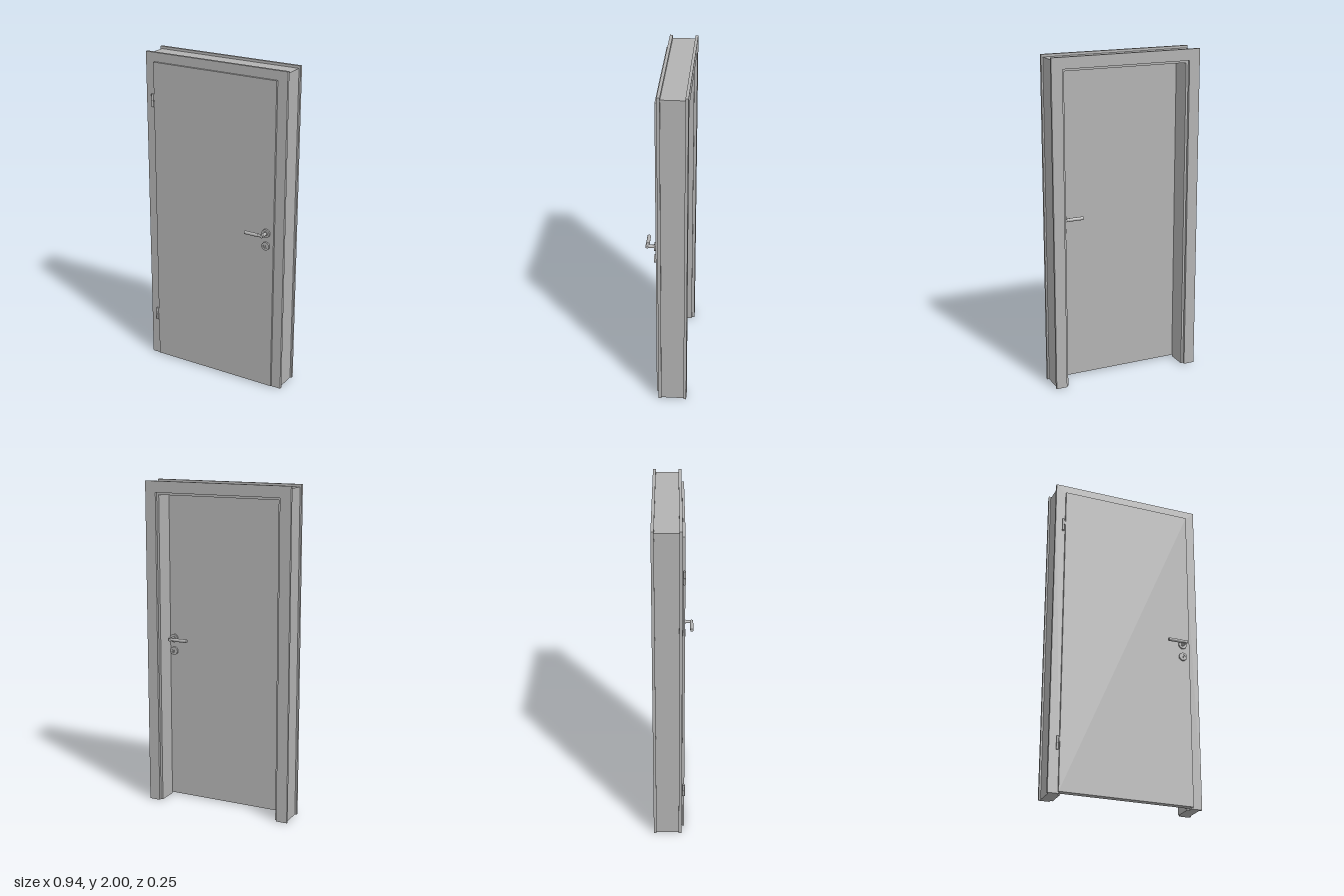
import * as THREE from 'three';

const grey = new THREE.MeshStandardMaterial({ color: 0xb2b2b2 });
grey.name = 'plain grey';

function add(parent, name, geometry, x = 0, y = 0, z = 0) {
  const mesh = new THREE.Mesh(geometry, grey);
  mesh.name = name;
  mesh.position.set(x, y, z);
  parent.add(mesh);
  return mesh;
}

// Upside-down U around the doorway, running from z0 to z1
function archGeometry(outerX, outerY, innerX, innerY, z0, z1) {
  const shape = new THREE.Shape([
    [-outerX, 0], [-innerX, 0], [-innerX, innerY], [innerX, innerY],
    [innerX, 0], [outerX, 0], [outerX, outerY], [-outerX, outerY],
  ].map(([x, y]) => new THREE.Vector2(x, y)));
  const g = new THREE.ExtrudeGeometry(shape, { depth: z1 - z0, bevelEnabled: false });
  return g.translate(0, 0, z0);
}

// Box given by its extents
function slab(parent, name, x0, x1, y0, y1, z0, z1) {
  return add(parent, name, new THREE.BoxGeometry(x1 - x0, y1 - y0, z1 - z0),
    (x0 + x1) / 2, (y0 + y1) / 2, (z0 + z1) / 2);
}

// Round bar along z or x
function bar(parent, name, r, length, axis, x, y, z) {
  const g = new THREE.CylinderGeometry(r, r, length, 24);
  if (axis === 'z') g.rotateX(Math.PI / 2);
  if (axis === 'x') g.rotateZ(Math.PI / 2);
  return add(parent, name, g, x, y, z);
}

// Lever and key rosette; the door surface lies at z = 0, pointing to +z
function makeHandle(name) {
  const h = new THREE.Group();
  h.name = name;
  const x = 0.362, y = 1.025;
  bar(h, 'leverRosette', 0.026, 0.011, 'z', x, y, 0.0055);
  bar(h, 'leverCollar', 0.014, 0.004, 'z', x, y, 0.012);
  bar(h, 'leverNeck', 0.01, 0.052, 'z', x, y, 0.036);
  bar(h, 'leverElbow', 0.009, 0.037, 'x', 0.3535, y, 0.052);
  bar(h, 'leverGrip', 0.0105, 0.09, 'x', 0.293, y, 0.052);

  // Key rosette: ring around a recessed disc with a keyhole
  const ring = new THREE.Shape().absarc(0, 0, 0.025, 0, Math.PI * 2);
  ring.holes.push(new THREE.Path().absarc(0, 0, 0.013, 0, Math.PI * 2, true));
  add(h, 'keyRosette', new THREE.ExtrudeGeometry(ring,
    { depth: 0.012, bevelEnabled: false, curveSegments: 24 }), x, 0.945, 0);
  const disc = new THREE.Shape().absarc(0, 0, 0.013, 0, Math.PI * 2);
  const hole = new THREE.Path([[-0.002, -0.008], [-0.002, 0.006], [0.002, 0.006], [0.002, -0.008]]
    .map(([a, b]) => new THREE.Vector2(a, b)));
  disc.holes.push(hole);
  add(h, 'keyholeDisc', new THREE.ExtrudeGeometry(disc,
    { depth: 0.009, bevelEnabled: false, curveSegments: 24 }), x, 0.945, 0);
  return h;
}

export function createModel() {
  const model = new THREE.Group();
  model.name = 'door';

  // Frame: casings on both wall faces, lining with a rebate for the leaf
  const frame = new THREE.Group();
  frame.name = 'frame';
  model.add(frame);
  add(frame, 'frontCasing', archGeometry(0.47, 2, 0.402, 1.932, 0.027, 0.045));
  add(frame, 'backCasing', archGeometry(0.47, 2, 0.402, 1.932, -0.125, -0.108));
  add(frame, 'lining', archGeometry(0.46, 1.985, 0.388, 1.918, -0.108, 0.016));
  add(frame, 'liningRebate', archGeometry(0.46, 1.985, 0.402, 1.932, 0.016, 0.027));

  // Leaf: wide front face overlapping the casing, narrower core behind
  const leaf = new THREE.Group();
  leaf.name = 'leaf';
  model.add(leaf);
  slab(leaf, 'leafFace', -0.41, 0.41, 0.008, 1.945, 0.047, 0.06);
  slab(leaf, 'leafCore', -0.398, 0.398, 0.008, 1.928, 0.019, 0.047);

  // Lever sets on both sides
  const front = makeHandle('frontHandle');
  front.position.z = 0.06;
  const back = makeHandle('backHandle');
  back.position.z = 0.019;
  back.scale.z = -1;
  model.add(front, back);

  // Hinges: two knuckles each, with a pin into the casing and one into the leaf
  for (const y of [0.29, 1.71]) {
    const hinge = new THREE.Group();
    hinge.name = 'hinge';
    model.add(hinge);
    for (const s of [-1, 1]) {
      bar(hinge, 'hingeKnuckle', 0.007, 0.039, 'y', -0.423, y + s * 0.0205, 0.057);
    }
    bar(hinge, 'hingePin', 0.005, 0.08, 'y', -0.423, y, 0.057);
    slab(hinge, 'hingeFramePin', -0.426, -0.42, y - 0.038, y - 0.004, 0.044, 0.055);
    slab(hinge, 'hingeLeafPlate', -0.42, -0.409, y + 0.004, y + 0.038, 0.051, 0.057);
  }
  return model;
}
